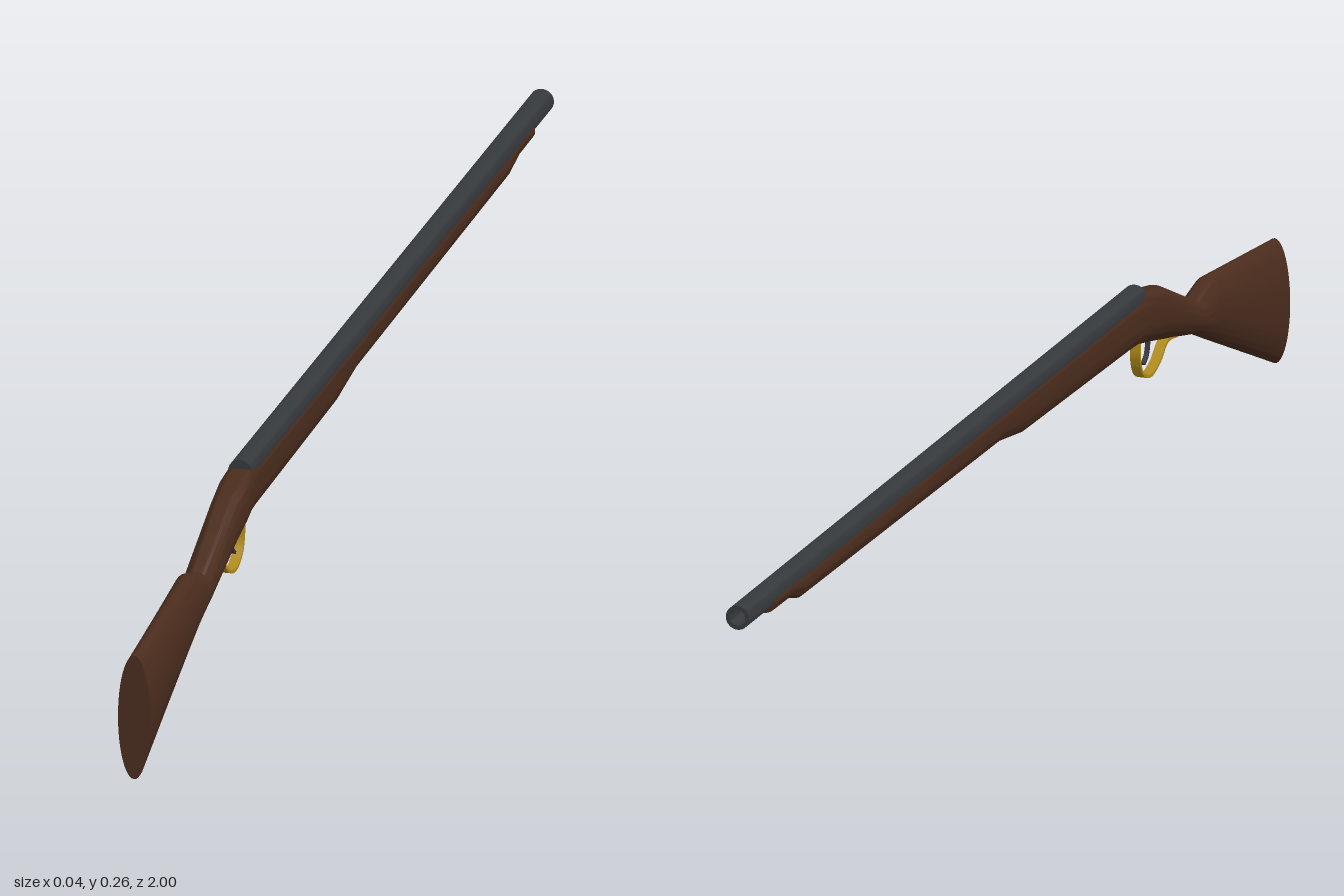
import * as THREE from 'three';
import { toCreasedNormals } from 'three/addons/utils/BufferGeometryUtils.js';

const wood = new THREE.MeshStandardMaterial({ color: 0x4a2c1d });
const steel = new THREE.MeshStandardMaterial({ color: 0x36393c });
const brass = new THREE.MeshStandardMaterial({ color: 0xb08a1c });

function addMesh(parent, name, geometry, material) {
  const mesh = new THREE.Mesh(geometry, material);
  mesh.name = name;
  parent.add(mesh);
  return mesh;
}

// Closed skin through cross-sections [z, bottom, top, half width, squareness of upper half]
function loftGeometry(sections, sides = 48) {
  const pos = [], index = [];
  for (const [z, bottom, top, w, n] of sections) {
    const mid = (bottom + top) / 2, h = (top - bottom) / 2;
    for (let j = 0; j < sides; j++) {
      const t = (j / sides) * Math.PI * 2;
      const c = Math.cos(t), s = Math.sin(t);
      const e = s > 0 ? 2 / n : 1;
      pos.push(Math.sign(c) * Math.abs(c) ** e * w, mid + Math.sign(s) * Math.abs(s) ** e * h, z);
    }
  }
  const last = sections.length - 1;
  const caps = [0, last].map((i) => {
    const [z, bottom, top] = sections[i];
    pos.push(0, (bottom + top) / 2, z);
    return pos.length / 3 - 1;
  });
  for (let j = 0; j < sides; j++) {
    const k = (j + 1) % sides;
    for (let i = 0; i < last; i++) {
      const a = i * sides + j, b = i * sides + k;
      index.push(a, a + sides, b, b, a + sides, b + sides);
    }
    index.push(caps[0], j, k, caps[1], last * sides + k, last * sides + j);
  }
  const g = new THREE.BufferGeometry();
  g.setAttribute('position', new THREE.Float32BufferAttribute(pos, 3));
  g.setIndex(index);
  return toCreasedNormals(g, 0.6);
}

// Flat strip bent along a side-view curve of [z, y] points, with its width along x
function stripGeometry(points, thickness, width) {
  const curve = new THREE.SplineCurve(points.map(([z, y]) => new THREE.Vector2(-z, y)));
  const outer = [], inner = [];
  for (let i = 0; i <= 28; i++) {
    const p = curve.getPoint(i / 28), t = curve.getTangent(i / 28);
    const side = new THREE.Vector2(-t.y, t.x).multiplyScalar(thickness / 2);
    outer.push(p.clone().add(side));
    inner.unshift(p.clone().sub(side));
  }
  const g = new THREE.ExtrudeGeometry(new THREE.Shape([...outer, ...inner]), { depth: width, bevelEnabled: false });
  g.translate(0, 0, -width / 2).rotateY(Math.PI / 2);
  return toCreasedNormals(g, 0.6);
}

export function createModel() {
  const model = new THREE.Group();
  model.name = 'longGun';

  // Butt, comb, wrist, breech and fore-end in one piece of wood
  addMesh(model, 'stock', loftGeometry([
    [1.0, 0.0, 0.173, 0.022, 2],
    [0.742, 0.111, 0.198, 0.022, 2],
    [0.69, 0.134, 0.181, 0.022, 2],
    [0.555, 0.166, 0.242, 0.022, 2.6],
    [0.51, 0.176, 0.25, 0.022, 4],
    [0.475, 0.183, 0.253, 0.0195, 6],
    [0.44, 0.184, 0.25, 0.0175, 6],
    [0.045, 0.191, 0.25, 0.0168, 6],
    [-0.045, 0.205, 0.25, 0.0168, 6],
    [-0.79, 0.213, 0.25, 0.0168, 6],
    [-0.835, 0.226, 0.25, 0.0168, 6],
    [-0.905, 0.227, 0.25, 0.0168, 6],
  ]), wood);

  // Barrel with an open bore at the muzzle
  const barrelProfile = [[0, 0], [0.0165, 0], [0.0165, 1.48], [0.011, 1.48], [0.011, 1.3], [0, 1.3]]
    .map(([r, y]) => new THREE.Vector2(r, y));
  const barrel = addMesh(model, 'barrel',
    toCreasedNormals(new THREE.LatheGeometry(barrelProfile, 32), 0.6), steel);
  barrel.rotation.x = -Math.PI / 2;
  barrel.position.set(0, 0.2485, 0.48);

  // Trigger and its guard
  addMesh(model, 'triggerGuard', stripGeometry([
    [0.62, 0.153], [0.585, 0.156], [0.556, 0.136], [0.523, 0.127],
    [0.494, 0.138], [0.482, 0.162], [0.483, 0.19],
  ], 0.004, 0.014), brass);
  addMesh(model, 'trigger', stripGeometry([
    [0.528, 0.185], [0.527, 0.168], [0.522, 0.155], [0.51, 0.146],
  ], 0.004, 0.006), steel);

  return model;
}
